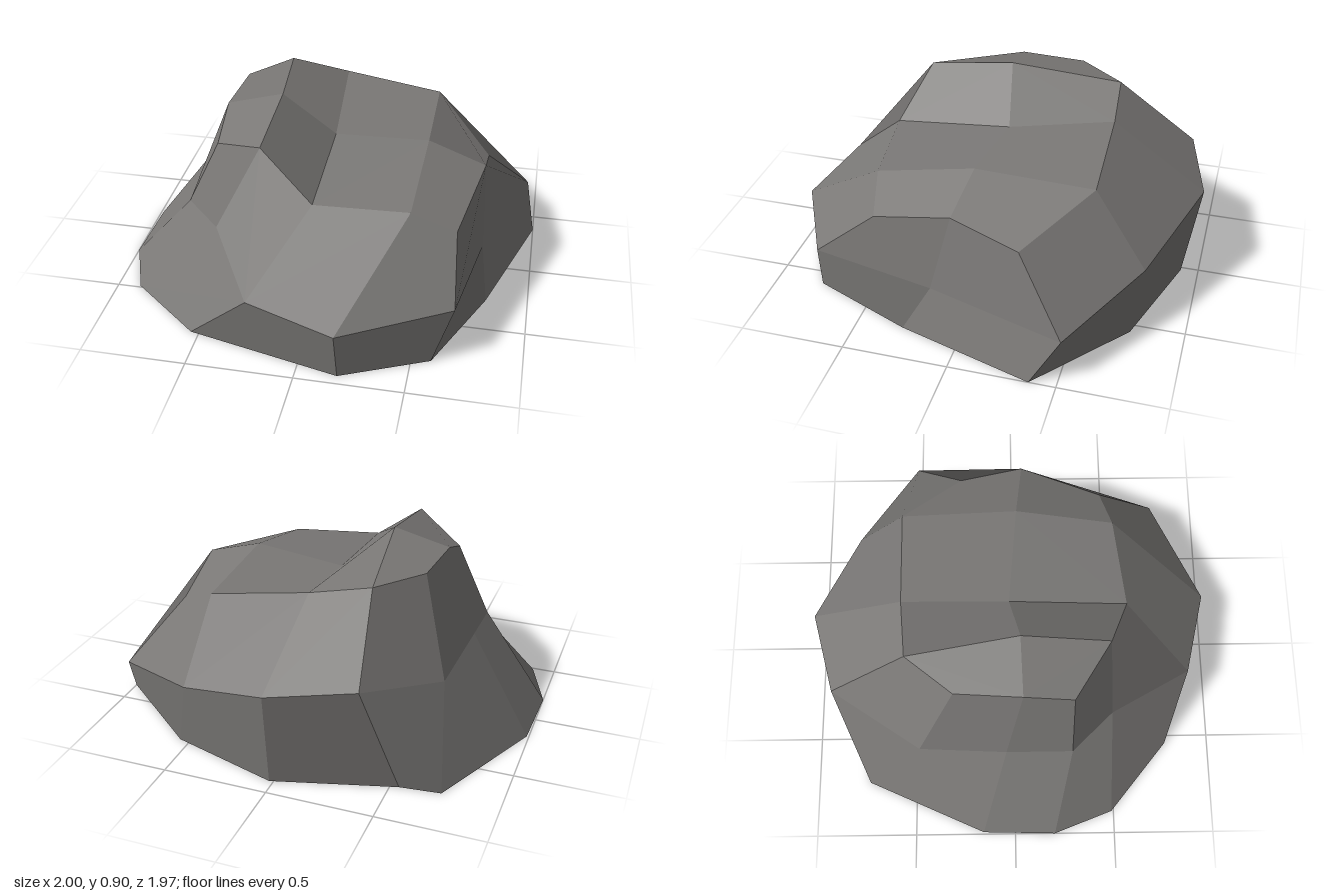
import * as THREE from 'three';

// Crown of the rock: three rows from back to front, five points each from -x to +x
const crown = [
  [[-0.5, 0.83, -0.28], [-0.32, 0.83, -0.505], [-0.03, 0.77, -0.53], [0.45, 0.69, -0.54], [0.74, 0.5, -0.26]],
  [[-0.52, 0.83, 0.04], [-0.25, 0.9, 0.03], [0, 0.68, -0.02], [0.46, 0.715, 0.02], [0.74, 0.625, 0.05]],
  [[-0.51, 0.74, 0.28], [-0.26, 0.84, 0.45], [0, 0.63, 0.55], [0.44, 0.61, 0.5], [0.65, 0.5, 0.45]],
];

// Rings below the crown, starting at the back -x corner and running along the back first
const bulge = [
  [-0.65, 0.4, -0.46], [-0.39, 0.52, -0.88], [0.01, 0.475, -0.985], [0.49, 0.32, -0.79],
  [0.95, 0.215, -0.505], [0.76, 0.23, 0.15], [0.68, 0.275, 0.735], [0.18, 0.245, 0.985],
  [-0.24, 0.295, 0.88], [-0.48, 0.4, 0.48], [-0.67, 0.4, 0.28], [-0.68, 0.44, -0.04],
];
const foot = [
  [-0.73, 0, -0.74], [-0.54, 0, -0.76], [0.02, 0, -0.915], [0.55, 0, -0.75],
  [1, 0, -0.375], [0.8, 0, 0.28], [0.59, 0, 0.77], [0.19, 0, 0.95],
  [-0.54, 0, 0.78], [-0.89, 0, 0.49], [-1, 0, 0.2], [-0.99, 0, -0.16],
];

// Adds a four-cornered facet, split along its longer diagonal and shaded as one flat face
function addFacet(out, ...corners) {
  const [a, b, c, d] = corners.map((p) => new THREE.Vector3(...p));
  const ac = c.clone().sub(a);
  const bd = d.clone().sub(b);
  const normal = ac.clone().cross(bd).normalize();
  const split = ac.length() >= bd.length() ? [a, b, c, a, c, d] : [a, b, d, b, c, d];
  for (const p of split) {
    out.positions.push(p.x, p.y, p.z);
    out.normals.push(normal.x, normal.y, normal.z);
  }
}

function facetMesh(name, facets, material) {
  const out = { positions: [], normals: [] };
  for (const facet of facets) addFacet(out, ...facet);
  const geometry = new THREE.BufferGeometry();
  geometry.setAttribute('position', new THREE.Float32BufferAttribute(out.positions, 3));
  geometry.setAttribute('normal', new THREE.Float32BufferAttribute(out.normals, 3));
  const mesh = new THREE.Mesh(geometry, material);
  mesh.name = name;
  return mesh;
}

// Facets joining two closed rings
function band(upper, lower) {
  return upper.map((p, i) => {
    const j = (i + 1) % upper.length;
    return [p, upper[j], lower[j], lower[i]];
  });
}

export function createModel() {
  const stone = new THREE.MeshStandardMaterial({ color: 0x7a7876, side: THREE.DoubleSide });
  stone.name = 'grey stone';

  // Top facets
  const top = [];
  for (let r = 0; r < 2; r++) {
    for (let c = 0; c < 4; c++) {
      top.push([crown[r][c], crown[r + 1][c], crown[r + 1][c + 1], crown[r][c + 1]]);
    }
  }

  // Outer edge of the crown, in the same order as the rings; the underside stays open
  const rim = [...crown[0], crown[1][4], ...[...crown[2]].reverse(), crown[1][0]];

  const rock = new THREE.Group();
  rock.name = 'rock';
  rock.add(
    facetMesh('rockTop', top, stone),
    facetMesh('upperSides', band(rim, bulge), stone),
    facetMesh('lowerSides', band(bulge, foot), stone),
  );
  return rock;
}
